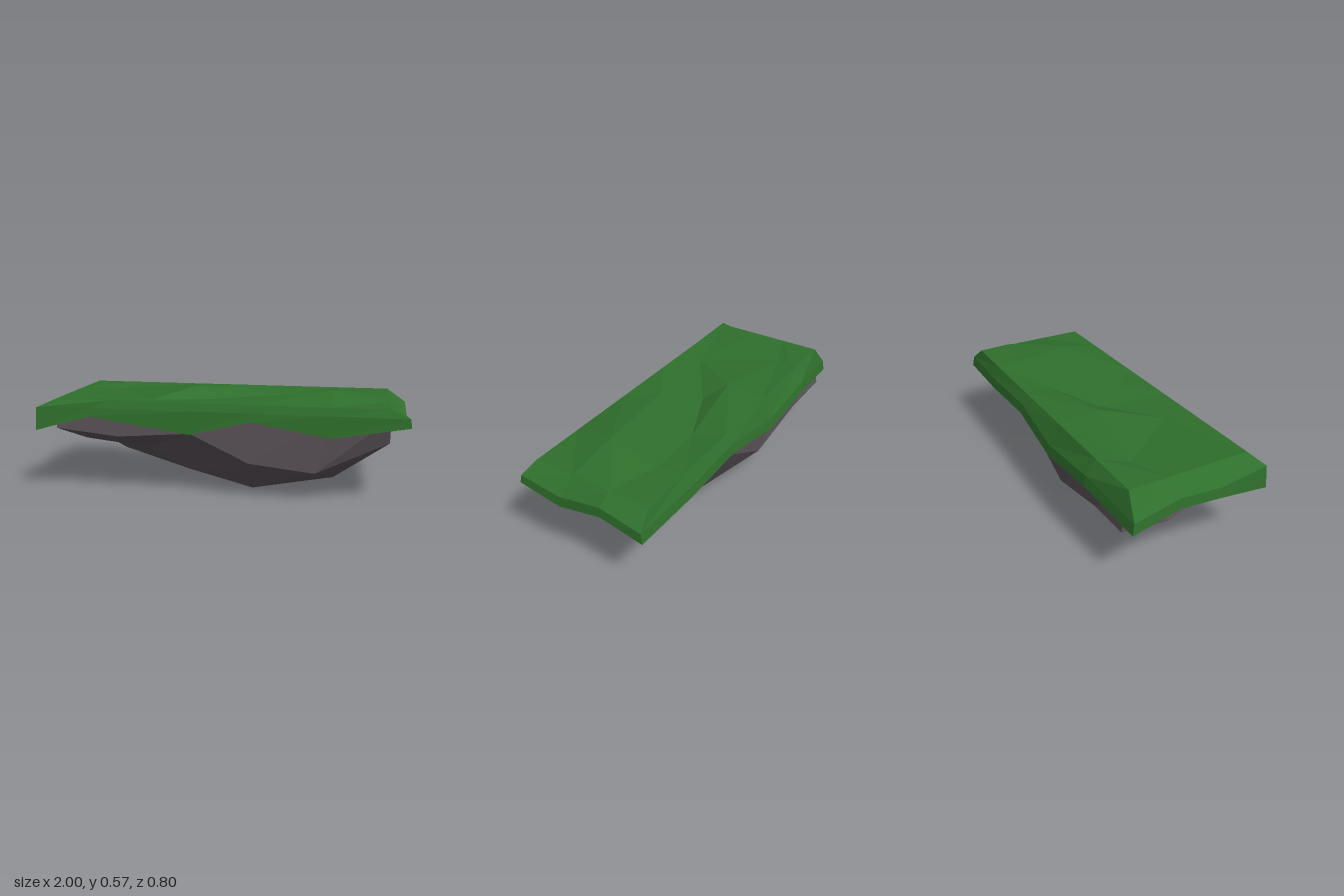
import * as THREE from 'three';
import { mergeGeometries } from 'three/addons/utils/BufferGeometryUtils.js';

// Join neighbouring rows of [x, y, z] points with faceted quads.
function loft(rows) {
  const out = [];
  for (let i = 0; i < rows.length - 1; i++) {
    for (let j = 0; j < rows[i].length - 1; j++) {
      const a = rows[i][j], b = rows[i][j + 1], c = rows[i + 1][j + 1], d = rows[i + 1][j];
      out.push(...a, ...b, ...d, ...b, ...c, ...d);
    }
  }
  return facets(out);
}

// Close a row of points with a triangle fan.
function fan(points) {
  const out = [];
  for (let i = 1; i < points.length - 1; i++) out.push(...points[0], ...points[i], ...points[i + 1]);
  return facets(out);
}

function facets(numbers) {
  const g = new THREE.BufferGeometry();
  g.setAttribute('position', new THREE.Float32BufferAttribute(numbers, 3));
  g.computeVertexNormals();
  return g;
}

function part(name, color, geometries) {
  const material = new THREE.MeshStandardMaterial({ color, flatShading: true, side: THREE.DoubleSide });
  const mesh = new THREE.Mesh(mergeGeometries(geometries), material);
  mesh.name = name;
  return mesh;
}

const columns = [-0.9, -0.6, -0.2, 0.2, 0.6, 0.9];

// Grass: uneven top, bevelled rim and a ragged skirt
function grass() {
  const backBumps = [
    [-0.9, 0.518, -0.11], [-0.68, 0.5, -0.19], [-0.2, 0.542, -0.11],
    [0.28, 0.49, -0.17], [0.62, 0.52, -0.2], [0.9, 0.518, -0.11],
  ];
  const frontBumps = [
    [-0.9, 0.518, 0.11], [-0.4, 0.505, 0.2], [-0.07, 0.48, -0.02],
    [0.05, 0.518, 0.18], [0.6, 0.57, 0.1], [0.9, 0.518, 0.11],
  ];
  const top = columns.map((x, i) => [[x, 0.518, -0.335], backBumps[i], frontBumps[i], [x, 0.518, 0.34]]);

  // Rim of the top, walked front, left end, back, right end
  const rim = [
    ...top.map((c) => c[3]), top[5][2], top[5][1],
    ...top.map((c) => c[0]).reverse(), top[0][1], top[0][2],
  ];
  // Lower skirt edge in the same order
  const hem = [
    [-1, 0.35, 0.398], [-0.7, 0.43, 0.365], [-0.15, 0.35, 0.365],
    [0.18, 0.43, 0.365], [0.6, 0.36, 0.365], [1, 0.43, 0.37],
    [0.995, 0.38, 0.13], [0.995, 0.43, -0.12],
    [1, 0.385, -0.365], [0.6, 0.39, -0.378], [0.2, 0.405, -0.378],
    [-0.2, 0.34, -0.4], [-0.6, 0.38, -0.4], [-1, 0.34, -0.37],
    [-1, 0.4, -0.12], [-1, 0.38, 0.13],
  ];
  const skirt = rim.map((r, i) => {
    const [x, y, z] = hem[i];
    const fold = [x * 0.995, z > 0.3 ? 0.475 : y * 0.9 + 0.095, z * 0.975];
    return [r, fold, hem[i]];
  });
  skirt.push(skirt[0]);
  return part('grass', 0x2f6f2c, [loft(top), loft(skirt)]);
}

// Rock: cross-sections from end to end, each running front, underside, back
function rock() {
  const sections = [
    [[-0.9, 0.355, 0.345], [-0.82, 0.25, 0.11], [-0.9, 0.265, -0.11], [-0.9, 0.295, -0.37]],
    [[-0.55, 0.32, 0.345], [-0.45, 0.21, 0.11], [-0.65, 0.145, -0.11], [-0.6, 0.25, -0.345]],
    [[-0.15, 0.35, 0.34], [-0.2, 0.09, 0.11], [-0.2, 0.025, -0.11], [-0.2, 0.16, -0.33]],
    [[0.17, 0.2, 0.34], [0.16, 0, 0.115], [0.18, 0.09, -0.185], [0.13, 0.34, -0.34]],
    [[0.52, 0.16, 0.33], [0.61, 0.08, 0.095], [0.52, 0.25, -0.11], [0.5, 0.39, -0.34]],
    [[0.9, 0.33, 0.285], [0.9, 0.365, 0.115], [0.88, 0.315, -0.11], [0.88, 0.4, -0.335]],
  ];
  const rows = sections.map((s, i) => [[columns[i], 0.47, 0.335], ...s, [columns[i], 0.47, -0.335]]);
  const cap = rows.map((r) => [r[5], r[0]]);
  return part('rock', 0x5a5258, [
    loft(rows), loft(cap), fan([...rows[0]].reverse()), fan(rows[5]),
  ]);
}

export function createModel() {
  const group = new THREE.Group();
  group.name = 'floatingIsland';
  group.add(grass(), rock());
  return group;
}
